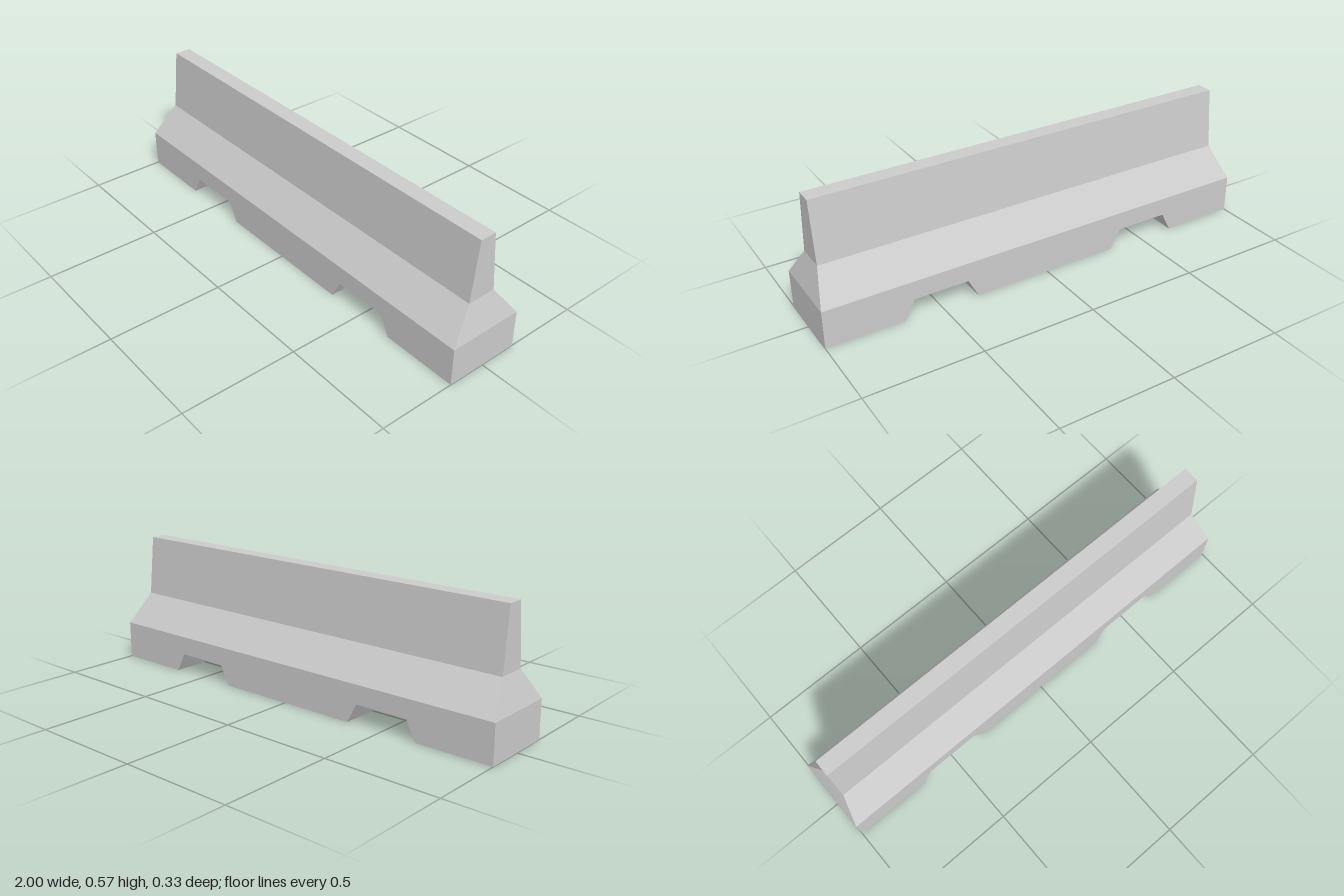
import * as THREE from 'three';

const BASE_TOP = 0.167, HALF_DEPTH = 0.167;

// Footing: front outline with two trapezoid drainage notches, extruded in depth
function createBase() {
  const outline = new THREE.Shape();
  outline.moveTo(-1, 0);
  for (const cx of [-0.5, 0.5]) {
    outline.lineTo(cx - 0.165, 0);
    outline.lineTo(cx - 0.12, 0.085);
    outline.lineTo(cx + 0.12, 0.085);
    outline.lineTo(cx + 0.165, 0);
  }
  outline.lineTo(1, 0);
  outline.lineTo(1, BASE_TOP);
  outline.lineTo(-1, BASE_TOP);
  outline.closePath();
  const geometry = new THREE.ExtrudeGeometry(outline, { depth: 2 * HALF_DEPTH, bevelEnabled: false });
  geometry.translate(0, 0, -HALF_DEPTH);

  // Drop the hidden top face, so that footing and wall form one shell
  const src = geometry.attributes.position;
  const kept = [];
  for (let i = 0; i < src.count; i += 3) {
    const corners = [i, i + 1, i + 2];
    if (corners.every((k) => Math.abs(src.getY(k) - BASE_TOP) < 1e-5)) continue;
    for (const k of corners) kept.push(src.getX(k), src.getY(k), src.getZ(k));
  }
  return fromTriangles(kept);
}

// Wall: rectangular rings [y, half width, half depth] joined from bottom to top
function createWall() {
  const rings = [
    [BASE_TOP, 1, HALF_DEPTH],
    [0.301, 0.96, 0.064],
    [0.567, 0.96, 0.036],
  ].map(([y, w, d]) => [[w, y, d], [w, y, -d], [-w, y, -d], [-w, y, d]]);
  const triangles = [];
  const quad = (a, b, c, d) => triangles.push(...a, ...b, ...c, ...a, ...c, ...d);
  for (let r = 0; r < rings.length - 1; r++) {
    const low = rings[r], high = rings[r + 1];
    for (let i = 0; i < 4; i++) {
      const j = (i + 1) % 4;
      quad(low[i], low[j], high[j], high[i]);
    }
  }
  quad(...rings[rings.length - 1]);
  return fromTriangles(triangles);
}

function fromTriangles(positions) {
  const geometry = new THREE.BufferGeometry();
  geometry.setAttribute('position', new THREE.Float32BufferAttribute(positions, 3));
  geometry.computeVertexNormals();
  return geometry;
}

export function createModel() {
  const group = new THREE.Group();
  group.name = 'concreteBarrier';
  const material = new THREE.MeshStandardMaterial({ color: 0xcccccc, flatShading: true });
  const parts = { notchedBase: createBase(), taperedWall: createWall() };
  for (const [name, geometry] of Object.entries(parts)) {
    const mesh = new THREE.Mesh(geometry, material);
    mesh.name = name;
    group.add(mesh);
  }
  return group;
}
